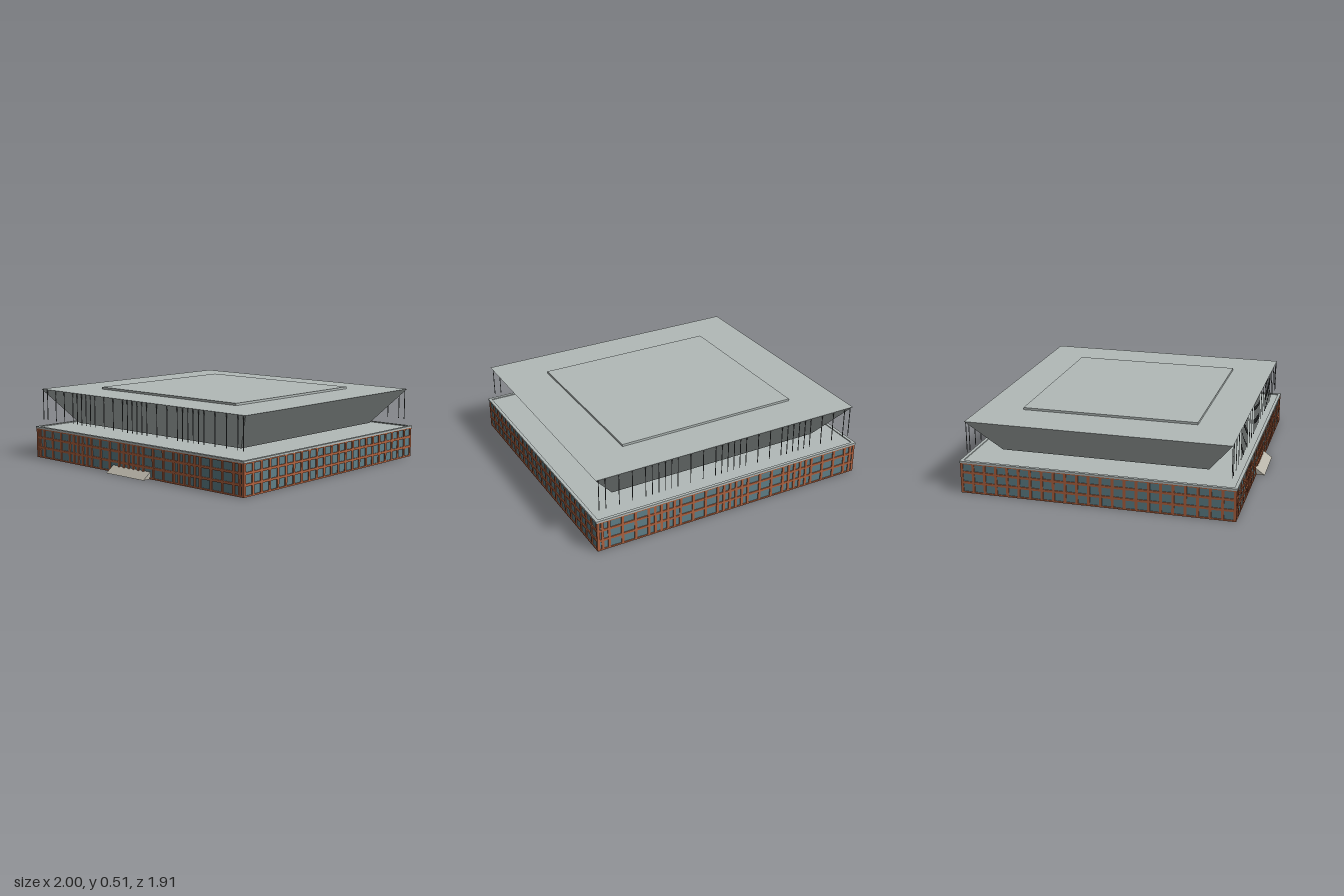
import * as THREE from 'three';

const mat = (color, extra = {}) => new THREE.MeshStandardMaterial({ color, ...extra });
const brick = mat(0xb0623f);
const glass = mat(0x5f7f88, { side: THREE.DoubleSide });
const concrete = mat(0xb2bab8);
const stone = mat(0xb8b4a8);
const steel = mat(0x55595a);

const CZ = -0.0275;            // middle of the building in z
const HX = 0.995, HZ = 0.925;  // half sizes of the facade
const WALL_H = 0.213;

function box(parent, name, w, h, d, x, y, z, material) {
  const mesh = new THREE.Mesh(new THREE.BoxGeometry(w, h, d), material);
  mesh.name = name;
  mesh.position.set(x, y, z);
  parent.add(mesh);
  return mesh;
}

// One facade: glazing with a brick grid in front of and behind it
function facade(name, half, mullions) {
  const wall = new THREE.Group();
  wall.name = name;
  const pane = new THREE.Mesh(new THREE.PlaneGeometry(half * 2, WALL_H), glass);
  pane.name = 'glazing';
  pane.position.set(0, WALL_H / 2, -0.006);
  wall.add(pane);
  for (const x of mullions) box(wall, 'brickPier', 0.018, WALL_H, 0.012, x, WALL_H / 2, -0.006, brick);
  for (const [y, h] of [[0.005, 0.01], [0.074, 0.016], [0.146, 0.016], [0.208, 0.01]])
    box(wall, 'brickBand', half * 2, h, 0.0116, 0, y, -0.006, brick);
  return wall;
}

export function createModel() {
  const model = new THREE.Group();
  model.name = 'building';

  // Bay rhythm of the long facades: three groups of narrow bays between wide ones
  const bays = [0.5, 1.5, 2.5, 4.5, 6.5, 8.5, 9.5, 10.5, 11.5, 12.5, 13.5, 15.5, 17.5, 19.5, 20.5]
    .flatMap(u => [-u * 0.0467, u * 0.0467]);
  const longPiers = [...bays, -HX + 0.009, HX - 0.009];
  const sidePiers = Array.from({ length: 24 }, (_, i) => (HZ - 0.009) * (i / 11.5 - 1));

  // Four walls around an open underside
  for (let i = 0; i < 4; i++) {
    const long = i % 2 === 0;
    const wall = facade(['frontWall', 'leftWall', 'backWall', 'rightWall'][i],
      long ? HX : HZ, long ? longPiers : sidePiers);
    const a = i * Math.PI / 2, r = long ? HZ : HX;
    wall.rotation.y = a;
    wall.position.set(Math.sin(a) * r, 0, CZ + Math.cos(a) * r);
    model.add(wall);
  }

  // Lower roof with a low rim
  box(model, 'lowerRoof', 1.98, 0.008, 1.84, 0, 0.215, CZ, concrete);
  for (const s of [-1, 1]) {
    box(model, 'roofRim', 2, 0.014, 0.022, 0, 0.218, CZ + s * 0.917, concrete);
    box(model, 'roofRim', 0.022, 0.014, 1.812, s * 0.989, 0.218, CZ, concrete);
  }

  // Upper storey flaring outwards to the top
  const hall = new THREE.BoxGeometry(2, 0.247, 2);
  const p = hall.attributes.position;
  for (let i = 0; i < p.count; i++) {
    const top = p.getY(i) > 0;
    p.setX(i, p.getX(i) * (top ? 0.975 : 0.78));
    p.setZ(i, p.getZ(i) * (top ? 0.888 : 0.705));
  }
  hall.computeVertexNormals();
  const upper = new THREE.Mesh(hall, concrete);
  upper.name = 'upperHall';
  upper.position.set(0, 0.3715, CZ);
  model.add(upper);

  box(model, 'roofPlate', 1.29, 0.016, 1.2, 0, 0.502, CZ, concrete);

  // Thin rods below the front and back eaves
  for (const s of [-1, 1])
    for (const x of bays)
      box(model, 'eaveRod', 0.004, 0.217, 0.004, x, 0.3835, CZ + s * 0.885, steel);

  // Entrance ramp: wedge profile extruded across the doorway
  const profile = new THREE.Shape();
  profile.moveTo(0.955, 0);
  profile.lineTo(0.883, 0.053);
  profile.lineTo(0.883, 0);
  profile.closePath();
  const rampGeo = new THREE.ExtrudeGeometry(profile, { depth: 0.36, bevelEnabled: false });
  const ramp = new THREE.Mesh(rampGeo, stone);
  ramp.name = 'entranceRamp';
  ramp.rotation.y = -Math.PI / 2;
  ramp.position.x = 0.18;
  model.add(ramp);

  return model;
}
